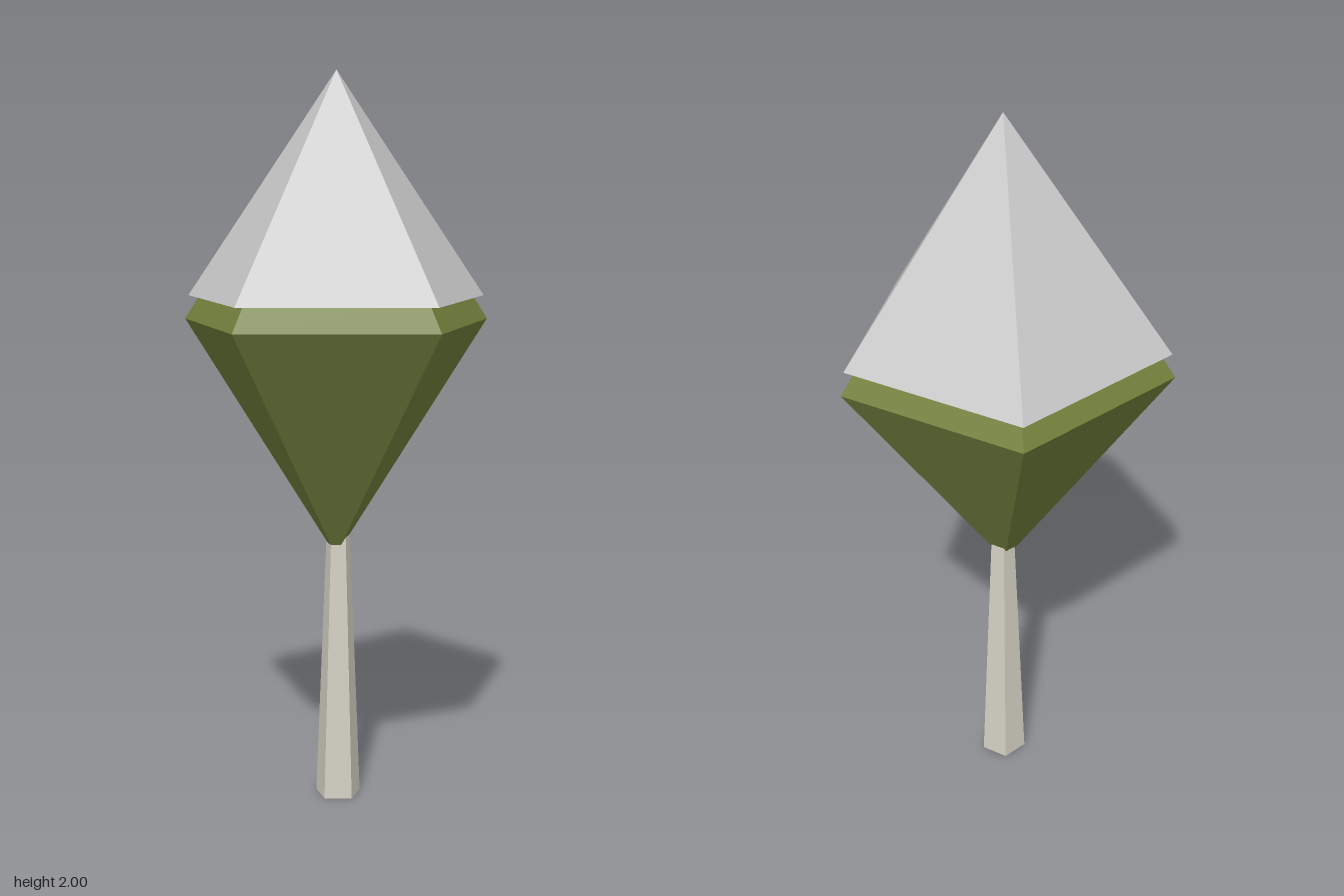
import * as THREE from 'three';

const SIDES = 5;

function flat(name, color) {
  const m = new THREE.MeshStandardMaterial({ color, flatShading: true });
  m.name = name;
  return m;
}

export function createModel() {
  const tree = new THREE.Group();
  tree.name = 'snowyTree';

  const bark = flat('paleBark', 0xd4d0c3);
  const leaf = flat('leafGreen', 0x75823e);
  const snow = flat('snowGrey', 0xcacaca);

  // Five-sided frustum from y0 to y1, with one corner facing the front
  function frustum(name, material, rBottom, rTop, y0, y1, z, openEnded = false) {
    const geo = new THREE.CylinderGeometry(rTop, rBottom, y1 - y0, SIDES, 1, openEnded);
    const mesh = new THREE.Mesh(geo, material);
    mesh.name = name;
    mesh.position.set(0, (y0 + y1) / 2, z);
    tree.add(mesh);
  }

  // Tapered trunk, its top buried in the crown
  frustum('trunk', bark, 0.065, 0.032, 0, 0.8, -0.054);

  // Crown: inverted pyramid with a short inward-sloping rim above
  frustum('lowerCrown', leaf, 0, 0.442, 0.69, 1.335, -0.043, true);
  frustum('crownRim', leaf, 0.442, 0.385, 1.335, 1.42, -0.043);

  // Snow cap with a slight overhang and closed underside
  frustum('snowCap', snow, 0.431, 0, 1.4, 2, -0.043);

  return tree;
}
